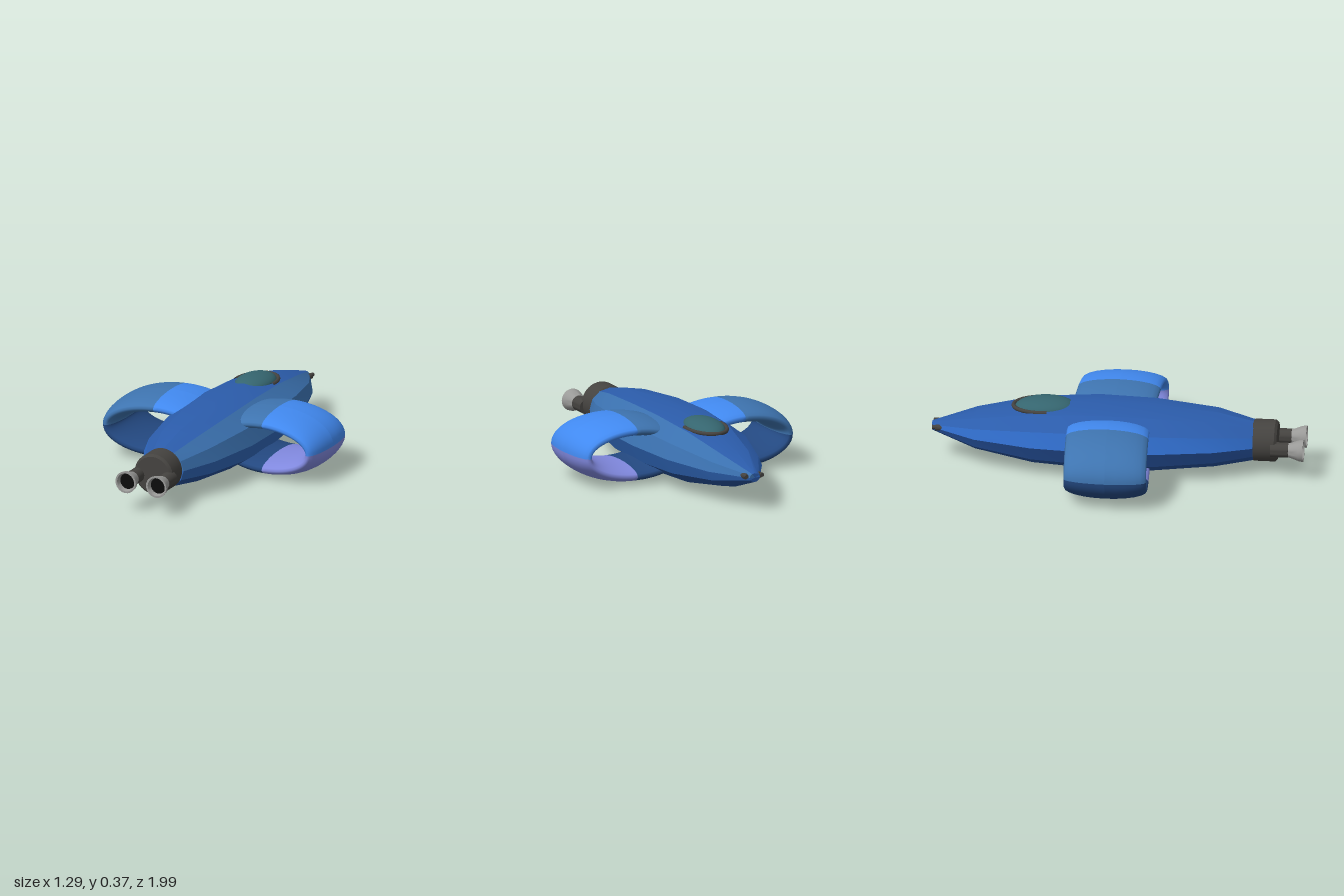
import * as THREE from 'three';
import { toCreasedNormals } from 'three/addons/utils/BufferGeometryUtils.js';

const material = (color) => new THREE.MeshStandardMaterial({ color, side: THREE.DoubleSide });
const dark = material(0x454340);
const silver = material(0x9a9a98);
const black = material(0x0c0c0c);
const glass = material(0x35656f);

// Hull cross-sections: z, centre height, half width, half height
const SECTIONS = [
  [-0.985, 0.185, 0.001, 0.001],
  [-0.985, 0.185, 0.03, 0.024],
  [-0.75, 0.182, 0.16, 0.1],
  [-0.44, 0.187, 0.25, 0.158],
  [-0.1, 0.188, 0.278, 0.178],
  [0.2, 0.186, 0.268, 0.173],
  [0.53, 0.187, 0.21, 0.143],
  [0.73, 0.18, 0.12, 0.106],
  [0.73, 0.18, 0.001, 0.001],
];
const SIDES = 12;

// Skin of the twelve-sided hull between two side numbers
function hullPanel(from, to) {
  const point = ([z, cy, rx, ry], i) => {
    const a = (i / SIDES) * Math.PI * 2;
    return [rx * Math.cos(a), cy + ry * Math.sin(a), z];
  };
  const pos = [];
  for (let j = 0; j < SECTIONS.length - 1; j++) {
    for (let i = from; i < to; i++) {
      const a = point(SECTIONS[j], i), b = point(SECTIONS[j], i + 1);
      const c = point(SECTIONS[j + 1], i + 1), d = point(SECTIONS[j + 1], i);
      pos.push(...a, ...b, ...c, ...a, ...c, ...d);
    }
  }
  const g = new THREE.BufferGeometry();
  g.setAttribute('position', new THREE.Float32BufferAttribute(pos, 3));
  return toCreasedNormals(g, 0.37);
}

// Quarter of an oval ring wing with a long, thin elliptical section
function wingQuarter(side, quarter) {
  const g = new THREE.TorusGeometry(1, 0.5, 24, 20, Math.PI / 2);
  const { position, uv } = g.attributes;
  const a = 0.276, b = 0.123, t = 0.049;
  for (let i = 0; i < position.count; i++) {
    const u = (uv.getX(i) + quarter) * Math.PI / 2;
    const v = uv.getY(i) * Math.PI * 2;
    const n = new THREE.Vector2(b * Math.cos(u), a * Math.sin(u)).normalize();
    const x = side * 0.32 + a * Math.cos(u) + n.x * t * Math.cos(v);
    const y = 0.177 + b * Math.sin(u) + n.y * t * Math.cos(v);
    const z = 0.22 * Math.sin(v) + 0.055 * (side * x - 0.71); // slight sweep
    position.setXYZ(i, x, y, z);
  }
  g.computeVertexNormals();
  return g;
}

// Lathe profile of [radius, z] points turned about the z axis
function turned(points, segments = 28) {
  const g = new THREE.LatheGeometry(points.map(([r, z]) => new THREE.Vector2(r, z)), segments);
  return toCreasedNormals(g.rotateX(Math.PI / 2), 0.6);
}

export function createModel() {
  const model = new THREE.Group();
  model.name = 'spacecraft';
  const add = (name, geometry, mat, x = 0, y = 0, z = 0, parent = model) => {
    const mesh = new THREE.Mesh(geometry, mat);
    mesh.name = name;
    mesh.position.set(x, y, z);
    parent.add(mesh);
    return mesh;
  };

  // Hull in coloured lengthwise panels
  const hull = new THREE.Group();
  hull.name = 'hull';
  model.add(hull);
  [
    ['rightUpperPanel', 0, 2, 0x3a70ae],
    ['topPanel', 2, 5, 0x2b5cab],
    ['leftEdgePanel', 5, 6, 0x2f6bc8],
    ['bottomPanel', 6, 11, 0x25509a],
    ['rightEdgePanel', 11, 12, 0x2f66b8],
  ].forEach(([name, from, to, color]) => add(name, hullPanel(from, to), material(color), 0, 0, 0, hull));

  // Ring wings, four coloured quarters each
  const quarters = [0x4189f0, 0x3e74b0, 0x234880, 0x8088de].map(material);
  for (const side of [1, -1]) {
    const wing = new THREE.Group();
    wing.name = side > 0 ? 'leftRingWing' : 'rightRingWing';
    model.add(wing);
    quarters.forEach((mat, q) => add('wingQuarter', wingQuarter(side, q), mat, 0, 0, 0, wing));
  }

  // Canopy and the frame round its forward half
  const canopy = add('canopy', new THREE.SphereGeometry(1, 32, 20), glass, 0, 0.324, -0.385);
  canopy.scale.set(0.1, 0.05, 0.16);
  canopy.rotation.x = -0.04;
  const arc = [];
  for (let i = 0; i <= 16; i++) {
    const p = -0.12 + (i / 16) * (Math.PI + 0.24);
    arc.push(new THREE.Vector3(0.107 * Math.cos(p), 0.33 - 0.005 * Math.sin(p), -0.385 - 0.168 * Math.sin(p)));
  }
  add('canopyFrame', new THREE.TubeGeometry(new THREE.CatmullRomCurve3(arc), 40, 0.011, 8), dark);

  // Engine collar with rounded rims
  add('engineCollar', turned([[0, 0.72], [0.1, 0.72], [0.112, 0.732], [0.112, 0.843], [0.1, 0.856], [0, 0.856]], 36),
    dark, 0, 0.18);

  for (const side of [1, -1]) {
    // Engine pipe and flared nozzle
    const x = side * 0.09, y = 0.168;
    add('enginePipe', turned([[0, 0.825], [0.04, 0.825], [0.04, 0.92], [0, 0.92]]), dark, x, y);
    add('nozzle', turned([[0.036, 0.915], [0.043, 0.94], [0.056, 0.975], [0.06, 1], [0.05, 1], [0.042, 0.97]]),
      silver, x, y);
    add('nozzleThroat', new THREE.CircleGeometry(0.044, 28), black, x, y, 0.975);

    // Nose gun: mount and barrel
    add('gunMount', new THREE.CylinderGeometry(0.016, 0.016, 0.04, 12).rotateX(Math.PI / 2), dark, side * 0.042, 0.19, -0.945);
    add('gunBarrel', new THREE.CylinderGeometry(0.011, 0.011, 0.03, 12).rotateX(Math.PI / 2), dark, side * 0.046, 0.194, -0.967);
  }
  return model;
}
